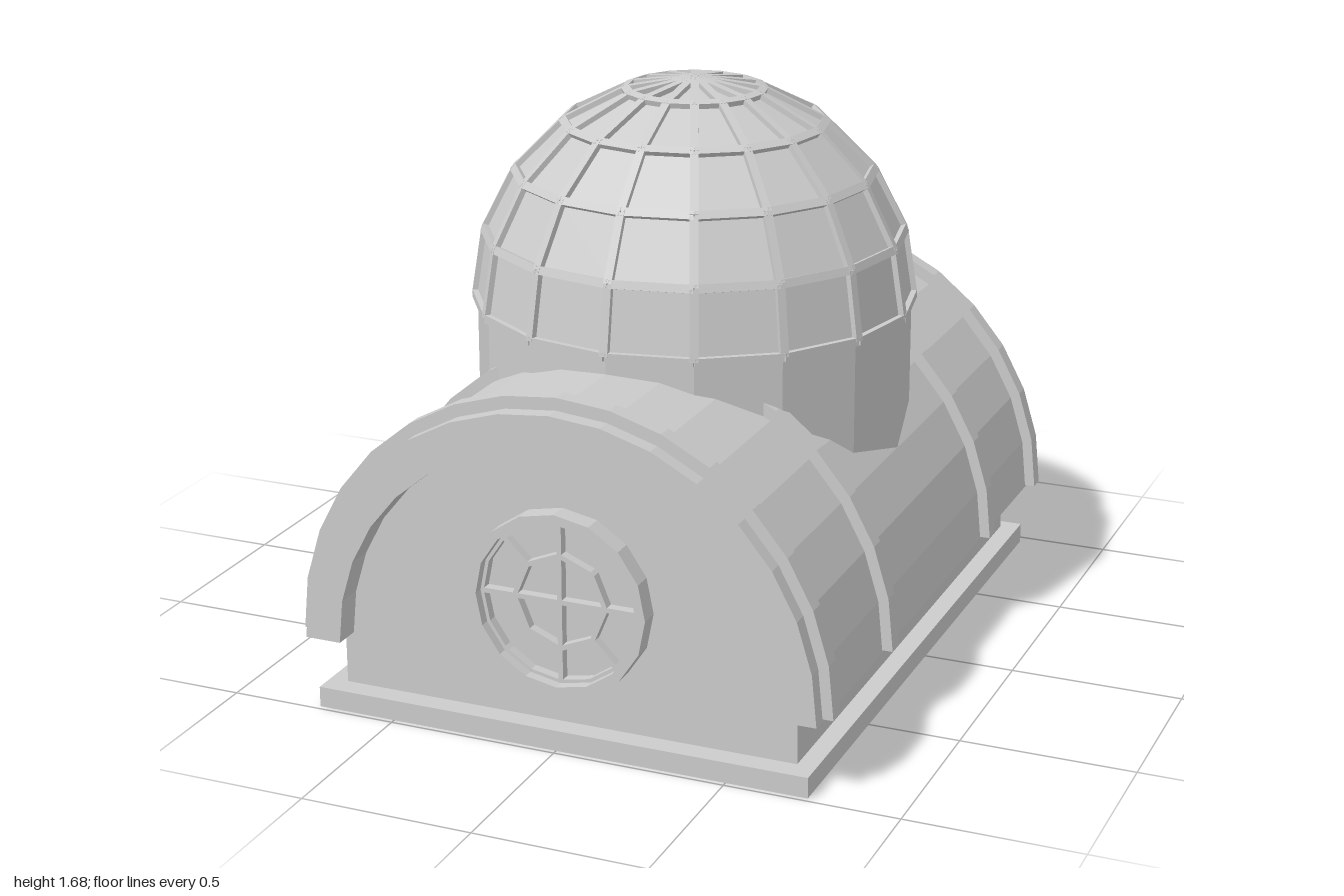
import * as THREE from 'three';

const material = new THREE.MeshStandardMaterial({ color: 0xcccccc, flatShading: true });
const SPRING = 0.215; // height where the vault starts

function add(parent, name, geometry, x = 0, y = 0, z = 0) {
  const mesh = new THREE.Mesh(geometry, material);
  mesh.name = name;
  mesh.position.set(x, y, z);
  parent.add(mesh);
  return mesh;
}

// Points on an arc in the xy plane
function arc(radius, from, to, steps) {
  return Array.from({ length: steps + 1 }, (_, i) => {
    const a = from + ((to - from) * i) / steps;
    return new THREE.Vector2(Math.cos(a) * radius, Math.sin(a) * radius);
  });
}

// Extrusion along z, centred on z = 0
function slab(shape, depth) {
  return new THREE.ExtrudeGeometry(shape, { depth, bevelEnabled: false }).translate(0, 0, -depth / 2);
}

function halfRing(outer, inner, depth) {
  return slab(new THREE.Shape([...arc(outer, 0, Math.PI, 16), ...arc(inner, Math.PI, 0, 16)]), depth);
}

function fullRing(outer, inner, sides, depth) {
  const shape = new THREE.Shape(arc(outer, 0, Math.PI * 2, sides).slice(0, -1));
  shape.holes.push(new THREE.Path(arc(inner, Math.PI * 2, 0, sides).slice(0, -1)));
  return slab(shape, depth);
}

// Square bar from a to b, its outer face turned towards "outward"
function bar(parent, name, a, b, outward, width, depth) {
  const along = b.clone().sub(a);
  const mesh = add(parent, name, new THREE.BoxGeometry(width, along.length(), depth));
  along.normalize();
  const side = along.clone().cross(outward).normalize();
  const out = side.clone().cross(along);
  mesh.quaternion.setFromRotationMatrix(new THREE.Matrix4().makeBasis(side, along, out));
  mesh.position.copy(a).add(b).multiplyScalar(0.5);
}

function createDome() {
  const dome = new THREE.Group();
  dome.name = 'dome';
  dome.position.y = 1.03;
  const radius = 0.635, sides = 16, rows = 5;
  add(dome, 'domePanels', new THREE.SphereGeometry(radius, sides, rows, 0, Math.PI * 2, 0, Math.PI / 2));
  add(dome, 'domeFloor', new THREE.CylinderGeometry(radius, radius, 0.02, sides));
  const point = (row, i) => new THREE.Vector3().setFromSphericalCoords(
    radius, Math.PI / 2 * (1 - row / rows), (i / sides) * Math.PI * 2);
  for (let i = 0; i < sides; i++) {
    for (let row = 0; row < rows; row++) {
      const a = point(row, i);
      for (const [name, b] of [['domeSpoke', point(row + 1, i)], ['domeHoop', point(row, i + 1)]]) {
        bar(dome, name, a, b, a.clone().add(b), 0.024, 0.028);
      }
    }
  }
  return dome;
}

function createWindow() {
  const win = new THREE.Group();
  win.name = 'roundWindow';
  add(win, 'windowSurround', fullRing(0.265, 0.238, 16, 0.06), 0, 0, 0.03);
  add(win, 'windowFrame', fullRing(0.24, 0.228, 16, 0.03), 0, 0, 0.015);
  add(win, 'windowInnerFrame', fullRing(0.143, 0.128, 8, 0.03), 0, 0, 0.015);
  add(win, 'windowUpright', new THREE.BoxGeometry(0.014, 0.47, 0.03), 0, 0, 0.015);
  add(win, 'windowCrossbar', new THREE.BoxGeometry(0.47, 0.014, 0.03), 0, 0, 0.015);
  // Diagonal bars stop at the inner octagon
  for (let i = 0; i < 4; i++) {
    const a = Math.PI / 4 + (i * Math.PI) / 2;
    const diagonal = add(win, 'windowDiagonal', new THREE.BoxGeometry(0.1, 0.014, 0.03),
      Math.cos(a) * 0.185, Math.sin(a) * 0.185, 0.015);
    diagonal.rotation.z = a;
  }
  return win;
}

export function createModel() {
  const model = new THREE.Group();
  model.name = 'domedVault';

  // Plinth and the walls, which carry up into the arched ends
  add(model, 'plinth', new THREE.BoxGeometry(1.47, 0.06, 1.95), 0, 0.03, 0.01);
  add(model, 'lowerWalls', new THREE.BoxGeometry(1.36, SPRING - 0.06, 1.84), 0, (SPRING + 0.06) / 2, 0);
  add(model, 'archedWalls', slab(new THREE.Shape(arc(0.665, 0, Math.PI, 16)), 1.84), 0, SPRING, 0);

  // Barrel roof with four raised ribs
  add(model, 'barrelRoof', halfRing(0.762, 0.655, 2), 0, SPRING, 0);
  for (const z of [-0.928, -0.452, 0.452, 0.928]) {
    add(model, 'roofRib', halfRing(0.792, 0.74, 0.05), 0, SPRING + 0.006, z);
  }

  // Drum rising out of the roof, topped by the panelled dome
  add(model, 'drum', new THREE.CylinderGeometry(0.633, 0.633, 0.5, 16), 0, 0.78, 0);
  model.add(createDome());

  // Round windows at both ends
  for (const end of [1, -1]) {
    const win = createWindow();
    win.position.set(0, 0.425, end * 0.918);
    if (end < 0) win.rotation.y = Math.PI;
    model.add(win);
  }
  return model;
}
